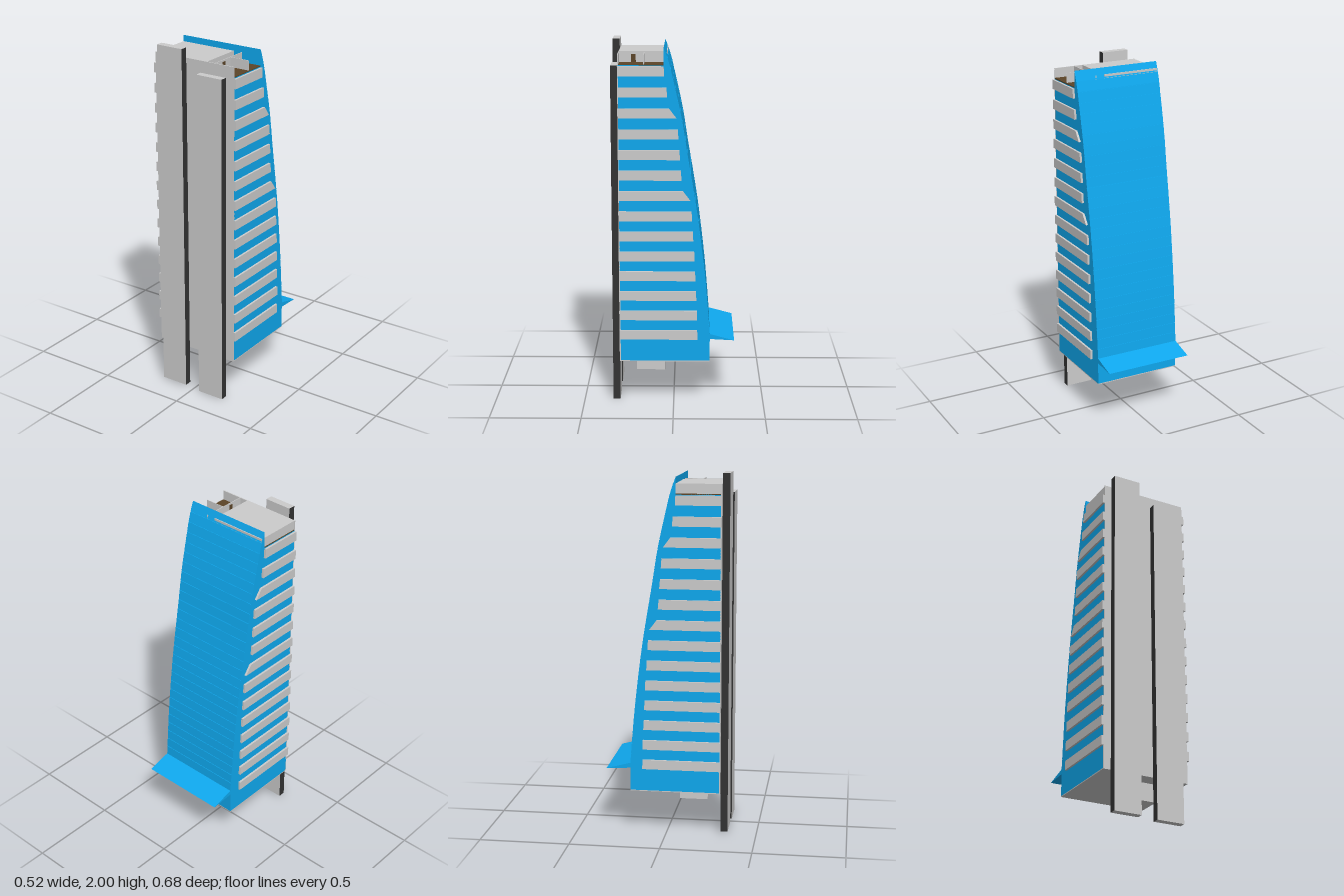
import * as THREE from 'three';

const mat = (color) => new THREE.MeshStandardMaterial({ color, flatShading: true });

export function createModel() {
  const model = new THREE.Group();
  const grey = mat(0xcccccc), blue = mat(0x0fa8ee), brown = mat(0x5c4528), dark = mat(0x333333);

  const add = (name, geometry, material) => {
    const mesh = new THREE.Mesh(geometry, material);
    mesh.name = name;
    model.add(mesh);
    return mesh;
  };

  // box given by its extents
  const box = (name, [x0, x1], [y0, y1], [z0, z1], material) => {
    const g = new THREE.BoxGeometry(x1 - x0, y1 - y0, z1 - z0);
    g.translate((x0 + x1) / 2, (y0 + y1) / 2, (z0 + z1) / 2);
    return add(name, g, material);
  };

  // prism with a [z, y] outline, running from x0 to x1
  const prism = (name, outline, x0, x1, material) => {
    const shape = new THREE.Shape(outline.map(([z, y]) => new THREE.Vector2(-z, y)));
    const g = new THREE.ExtrudeGeometry(shape, { depth: x1 - x0, bevelEnabled: false });
    g.rotateY(Math.PI / 2).translate(x0, 0, 0);
    return add(name, g, material);
  };

  // tower body: curved back facade divided into panels by fine grooves
  const curve = new THREE.SplineCurve([
    [-0.2, 0.4], [-0.175, 0.7], [-0.14, 1.0], [-0.11, 1.2], [-0.076, 1.4],
    [-0.044, 1.6], [0, 1.8], [0.024, 1.9], [0.053, 1.98],
  ].map(([z, y]) => new THREE.Vector2(z, y)));
  const panels = 28, gap = 0.06 / panels, groove = 0.003;
  const back = [];
  for (let i = 0; i < panels; i++) {
    const a = curve.getPointAt(i / panels);
    const b = curve.getPointAt(Math.min(1, (i + 1) / panels));
    back.push([a.x, a.y]);
    if (i < panels - 1) {
      const c = a.clone().lerp(b, 1 - gap * panels);
      back.push([c.x, c.y], [c.x + groove, c.y], [b.x + groove, b.y]);
    } else back.push([b.x, b.y]);
  }
  prism('towerBody', [[0.296, 0.245], [-0.2, 0.245], ...back, [0.053, 1.888], [0.296, 1.888]],
    -0.25, 0.25, blue);

  // front wall, underside and the box hanging below
  box('frontWall', [-0.25, 0.25], [0.24, 1.945], [0.294, 0.3], grey);
  box('underside', [-0.25, 0.25], [0.24, 0.245], [-0.2, 0.294], grey);
  box('lowerBox', [-0.045, 0.105], [0.14, 0.24], [0.05, 0.21], grey);

  // entrance canopy
  prism('canopy', [[-0.19, 0.4], [-0.19, 0.372], [-0.335, 0.364], [-0.2, 0.4]], -0.25, 0.25, blue);

  // side balcony bands, two of them with slanted ends: [lower end z, upper end z]
  const ends = [
    [-0.132, -0.13], [-0.13, -0.128], [-0.125, -0.122], [-0.12, -0.117], [-0.115, -0.112],
    [-0.107, -0.104], [-0.1, -0.097], [-0.09, -0.05], [-0.043, -0.038], [-0.035, -0.03],
    [-0.026, -0.022], [-0.015, 0.025], [0.035, 0.038], [0.05, 0.053],
  ];
  ends.forEach(([zLow, zHigh], i) => {
    const y = 0.37 + i * 0.1123, h = 0.053;
    const outline = [[0.3, y], [zLow, y], [zHigh, y + h], [0.3, y + h]];
    prism('leftBand', outline, 0.25, 0.262, grey);
    prism('rightBand', outline, -0.262, -0.25, grey);
  });

  // roof terrace with a closed penthouse and thin partitions
  box('terraceFloor', [-0.25, 0.25], [1.886, 1.892], [0.053, 0.294], brown);
  box('penthouse', [-0.247, 0.08], [1.892, 1.945], [0.035, 0.294], grey);
  box('longPartition', [0.128, 0.132], [1.892, 1.945], [0.035, 0.294], grey);
  box('crossPartition', [0.132, 0.245], [1.892, 1.945], [0.157, 0.161], grey);
  box('partitionDoor', [0.127, 0.133], [1.892, 1.935], [0.205, 0.23], brown);

  // tall front slabs with dark narrow sides
  const slab = (name, x0, x1, y0, y1) => {
    const sides = [dark, dark, grey, grey, grey, grey];
    box(name, [x0, x1], [y0, y1], [0.3, 0.34], sides);
  };
  slab('rightSlab', -0.208, -0.05, 0.01, 2);
  slab('leftSlab', 0.041, 0.2, 0, 1.88);

  return model;
}
